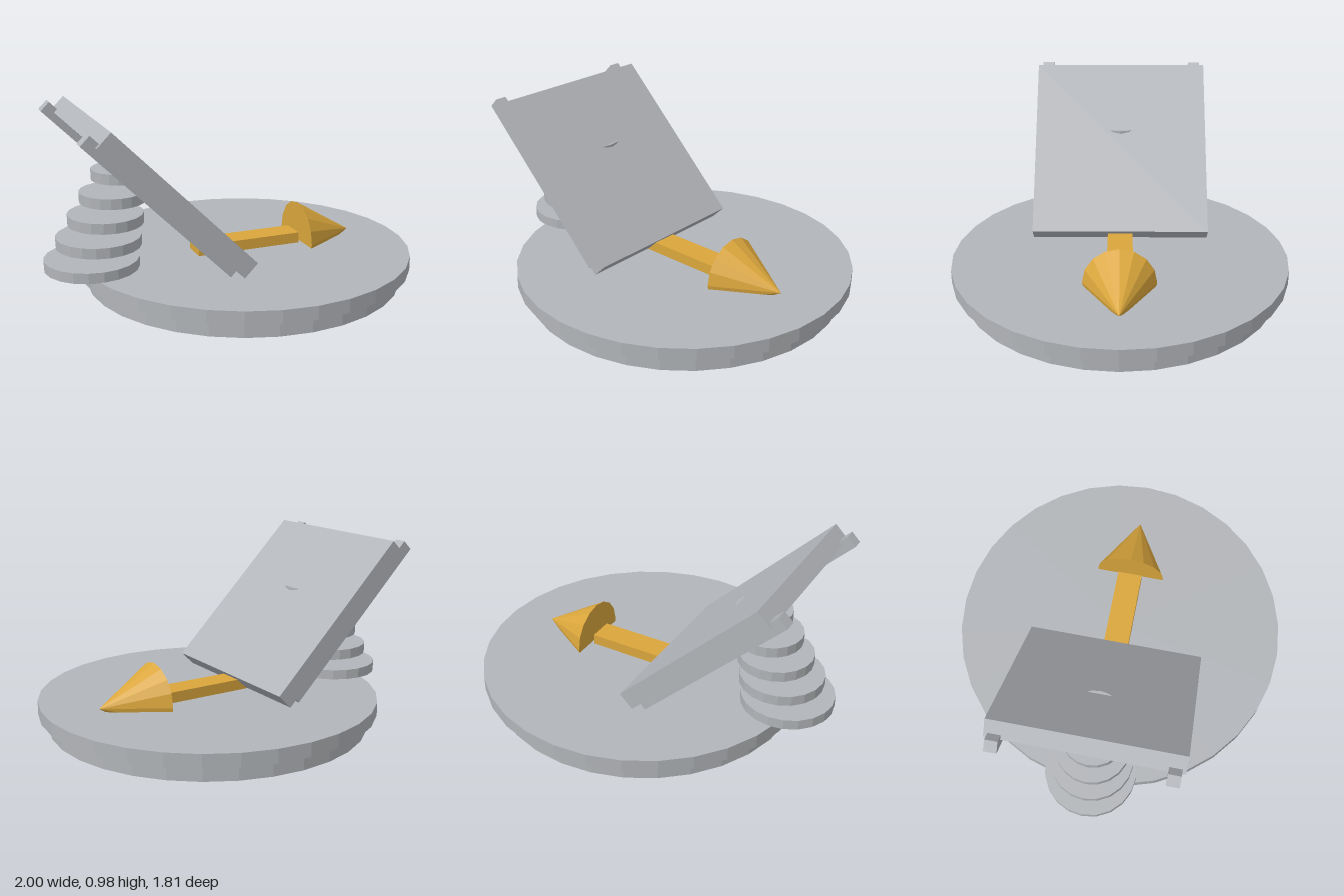
import * as THREE from 'three';

export function createModel() {
  const model = new THREE.Group();
  const grey = new THREE.MeshStandardMaterial({ color: 0xb2b5b9, flatShading: true });
  grey.name = 'lightGrey';
  const gold = new THREE.MeshStandardMaterial({ color: 0xdaa63c, flatShading: true });
  gold.name = 'gold';

  const add = (name, geometry, material, x, y, z, tilt = 0) => {
    const mesh = new THREE.Mesh(geometry, material);
    mesh.name = name;
    mesh.position.set(x, y, z);
    mesh.rotation.z = tilt;
    model.add(mesh);
    return mesh;
  };
  const disc = (name, r, bottom, top, x, sides) =>
    add(name, new THREE.CylinderGeometry(r, r, top - bottom, sides), grey, x, (bottom + top) / 2, 0);

  // Two-step round base
  disc('baseLower', 0.853, 0.015, 0.1, 0.095, 32);
  disc('baseUpper', 0.905, 0.1, 0.172, 0.095, 32);

  // Arrow lying on the base, pointing to +x
  add('arrowShaft', new THREE.BoxGeometry(0.59, 0.07, 0.137), gold, 0.107, 0.195, 0);
  add('arrowHead', new THREE.ConeGeometry(0.192, 0.32, 16), gold, 0.582, 0.192, 0, -Math.PI / 2);

  // Leaning panel with a rail near each side of its underside
  const lean = -Math.PI / 4;
  add('panel', new THREE.BoxGeometry(1.03, 0.1, 0.966), grey, -0.428, 0.582, 0, lean);
  for (const side of [-1, 1]) {
    add('panelRail', new THREE.BoxGeometry(1.035, 0.066, 0.064), grey, -0.509, 0.581, side * 0.432, lean);
  }

  // Stack of shrinking discs that steps up behind the panel
  for (let i = 0; i < 5; i++) {
    const bottom = 0.17 + i * 0.115;
    disc('stackDisc', 0.247 - i * 0.025, bottom, bottom + 0.055, -0.753 + i * 0.0405, 20);
  }
  return model;
}
